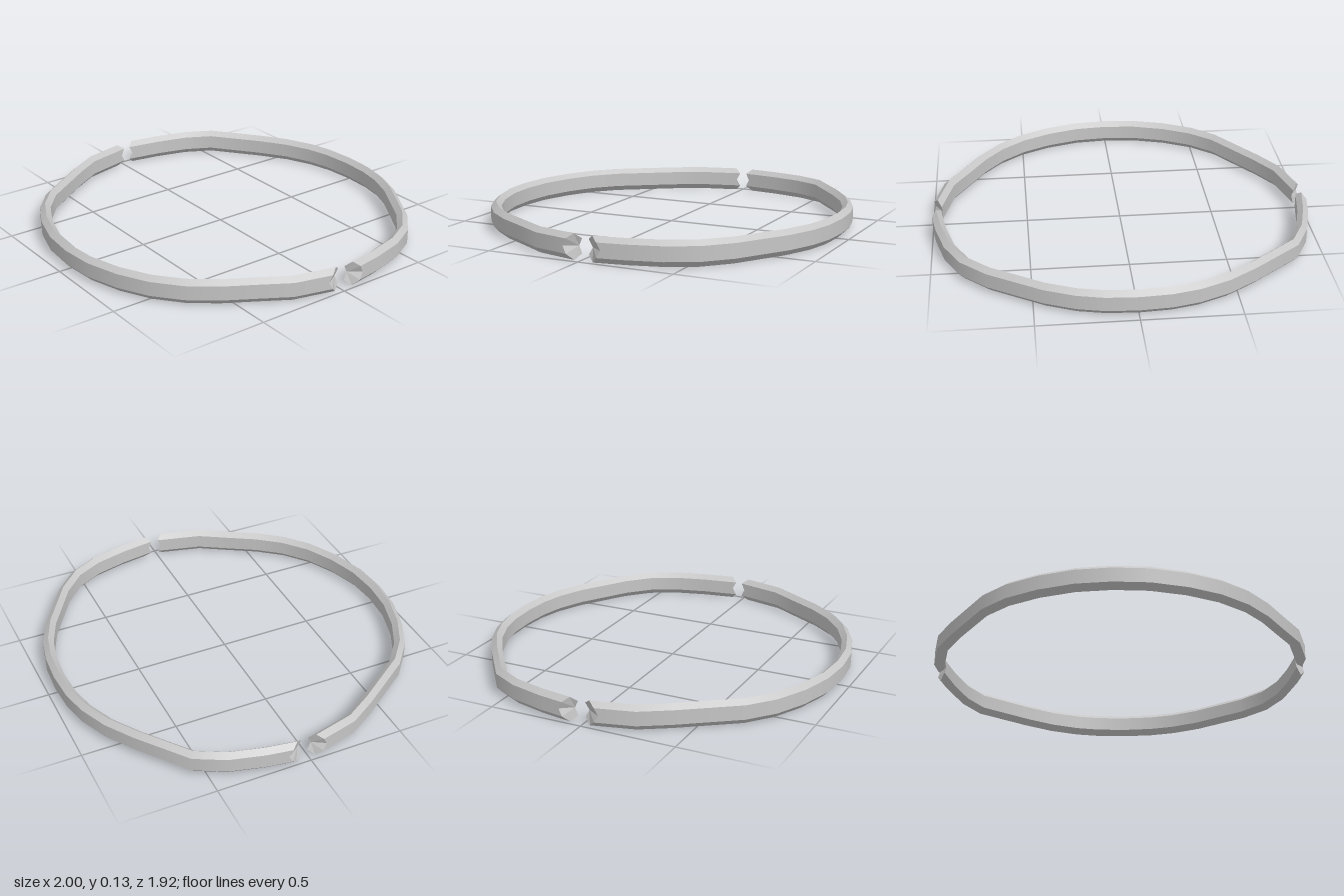
import * as THREE from 'three';

// cross-section: [distance inward from the outer wall, height, setback at the cut ends]
const SECTION = [
  [0, 0.03, 0], [0, 0.067, 0.02], [0, 0.105, 0], [0.028, 0.13, 0],
  [0.056, 0.105, 0], [0.056, 0.067, 0.02], [0.056, 0.03, 0], [0.028, 0, 0],
];

// outer wall of each half as [x, z]
const BACK = [
  [-1, -0.1], [-0.977, -0.238], [-0.93, -0.415], [-0.85, -0.567], [-0.6, -0.76], [-0.453, -0.857],
  [-0.3, -0.922], [-0.162, -0.953], [0, -0.963], [0.162, -0.953], [0.3, -0.922], [0.453, -0.857],
  [0.72, -0.69], [0.85, -0.567], [0.93, -0.415], [0.977, -0.238], [1, -0.1],
];
const FRONT = [
  [0.992, 0.07], [0.942, 0.267], [0.852, 0.415], [0.76, 0.57], [0.655, 0.702], [0.52, 0.812],
  [0.36, 0.892], [0.18, 0.945], [0, 0.96], [-0.18, 0.945], [-0.36, 0.892], [-0.52, 0.812],
  [-0.65, 0.702], [-0.852, 0.415], [-0.942, 0.267], [-0.992, 0.07],
];

// sweeps the section along a path: smooth lengthwise, sharp between the walls
function sweepBand(path) {
  const pts = path.map(([x, z]) => new THREE.Vector2(x, z));
  const n = SECTION.length, last = pts.length - 1;
  const positions = [], normals = [], index = [];
  const dir = (i) => pts[i + 1].clone().sub(pts[i]).normalize();

  // mitred rings, with both ends cut diagonally and notched at mid-height
  const tangents = [];
  const rings = pts.map((p, i) => {
    const a = dir(Math.max(i - 1, 0)), b = dir(Math.min(i, last - 1));
    const t = a.clone().add(b).normalize();
    tangents.push(t);
    const mitre = 1 / t.dot(a);
    const end = i === 0 ? -1 : i === last ? 1 : 0;
    return SECTION.map(([d, y, setback]) => {
      const slide = end * (d - setback);
      return new THREE.Vector3(p.x - t.y * d * mitre + t.x * slide, y, p.y + t.x * d * mitre + t.y * slide);
    });
  });

  // one strip for each wall
  for (let j = 0; j < n; j++) {
    const k = (j + 1) % n;
    const across = new THREE.Vector2(SECTION[j][1] - SECTION[k][1], SECTION[k][0] - SECTION[j][0]).normalize();
    rings.forEach((ring, i) => {
      const a = positions.length / 3, t = tangents[i];
      for (const v of [ring[j], ring[k]]) {
        positions.push(v.x, v.y, v.z);
        normals.push(-t.y * across.x, across.y, t.x * across.x);
      }
      if (i < last) index.push(a, a + 1, a + 2, a + 1, a + 3, a + 2);
    });
  }

  // notched end caps, fanned from the inner mid-height point
  const hub = 5, normal = new THREE.Vector3();
  for (let s = 1; s < n - 1; s++) {
    const p = (hub + s) % n, q = (hub + s + 1) % n;
    const triangles = [
      [rings[last][hub], rings[last][p], rings[last][q]],
      [rings[0][hub], rings[0][q], rings[0][p]],
    ];
    for (const corners of triangles) {
      THREE.Triangle.getNormal(...corners, normal);
      for (const v of corners) {
        index.push(positions.length / 3);
        positions.push(v.x, v.y, v.z);
        normals.push(normal.x, normal.y, normal.z);
      }
    }
  }

  const geometry = new THREE.BufferGeometry();
  geometry.setAttribute('position', new THREE.Float32BufferAttribute(positions, 3));
  geometry.setAttribute('normal', new THREE.Float32BufferAttribute(normals, 3));
  geometry.setIndex(index);
  return geometry;
}

export function createModel() {
  const group = new THREE.Group();
  group.name = 'splitRing';
  const metal = new THREE.MeshStandardMaterial({ color: 0xc6c6c6 });
  metal.name = 'light grey metal';

  for (const [name, path] of [['backHalf', BACK], ['frontHalf', FRONT]]) {
    const mesh = new THREE.Mesh(sweepBand(path), metal);
    mesh.name = name;
    group.add(mesh);
  }
  return group;
}
